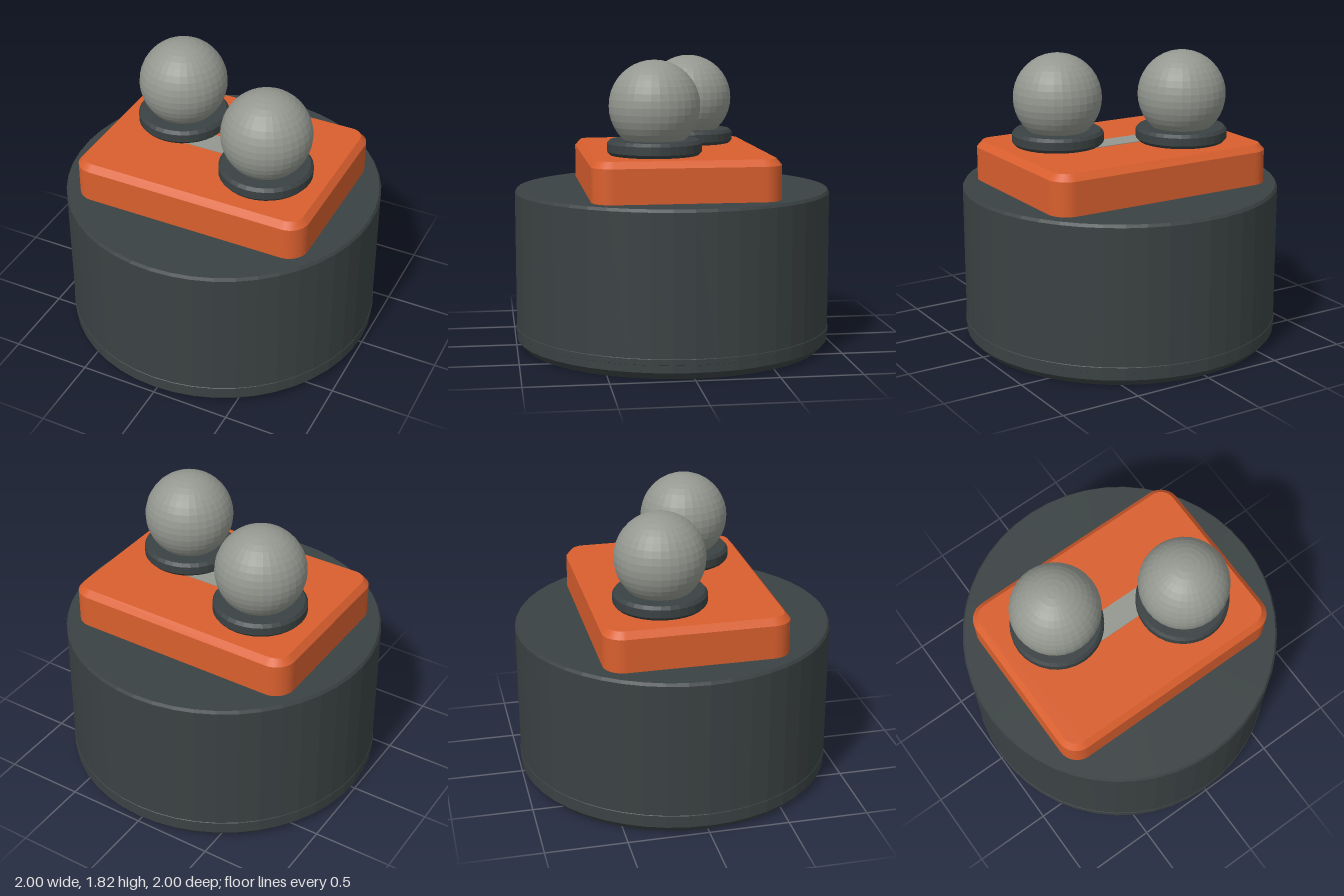
import * as THREE from 'three';

function material(name, color) {
  const m = new THREE.MeshStandardMaterial({ color, flatShading: true });
  m.name = name;
  return m;
}

function lathe(points, segments) {
  return new THREE.LatheGeometry(points.map(([r, y]) => new THREE.Vector2(r, y)), segments);
}

function roundedRect(hx, hz, r) {
  const s = new THREE.Shape();
  s.absarc(hx - r, hz - r, r, 0, Math.PI / 2);
  s.absarc(-hx + r, hz - r, r, Math.PI / 2, Math.PI);
  s.absarc(-hx + r, -hz + r, r, Math.PI, Math.PI * 1.5);
  s.absarc(hx - r, -hz + r, r, Math.PI * 1.5, Math.PI * 2);
  s.closePath();
  return s;
}

export function createModel() {
  const model = new THREE.Group();
  const dark = material('charcoal', 0x3b4243);
  const orange = material('orange', 0xd95f2e);
  const grey = material('warm grey', 0x949890);

  function add(parent, name, geometry, mat, x = 0, y = 0, z = 0) {
    const mesh = new THREE.Mesh(geometry, mat);
    mesh.name = name;
    mesh.position.set(x, y, z);
    parent.add(mesh);
    return mesh;
  }

  // Drum with a chamfered foot, a shallow band and a small top chamfer
  add(model, 'drumBody', lathe([
    [0, 0], [0.955, 0], [0.996, 0.045], [0.996, 0.09], [1, 0.092],
    [1, 0.125], [0.997, 0.128], [0.997, 0.982], [0.985, 1], [0, 1],
  ], 48), dark);

  // Rounded block with a chamfered top edge, its lower bevel sunk in the drum
  const bevel = 0.035;
  const block = new THREE.ExtrudeGeometry(roundedRect(0.77 - bevel, 0.57 - bevel, 0.09), {
    depth: 0.25, bevelEnabled: true, bevelThickness: 0.04, bevelSize: bevel,
    bevelSegments: 1, curveSegments: 6,
  });
  block.rotateX(-Math.PI / 2);
  add(model, 'topBlock', block, orange, 0, 0.96, 0);

  // Thin strip joining the two ball seats
  add(model, 'linkStrip', new THREE.BoxGeometry(0.72, 0.008, 0.16), grey, 0, 1.25, 0);

  // Two balls resting in collars, placed diagonally
  const collar = lathe([
    [0, 0], [0.272, 0], [0.289, 0.02], [0.289, 0.07], [0.272, 0.09], [0, 0.09],
  ], 32);
  const ball = new THREE.SphereGeometry(0.278, 32, 20);
  for (const side of [-1, 1]) {
    const unit = new THREE.Group();
    unit.name = side > 0 ? 'leftBallUnit' : 'rightBallUnit';
    unit.position.set(side * 0.36, 1.25, side * 0.158);
    add(unit, 'collar', collar, dark);
    add(unit, 'ball', ball, grey, 0, 0.295, 0);
    model.add(unit);
  }

  return model;
}
